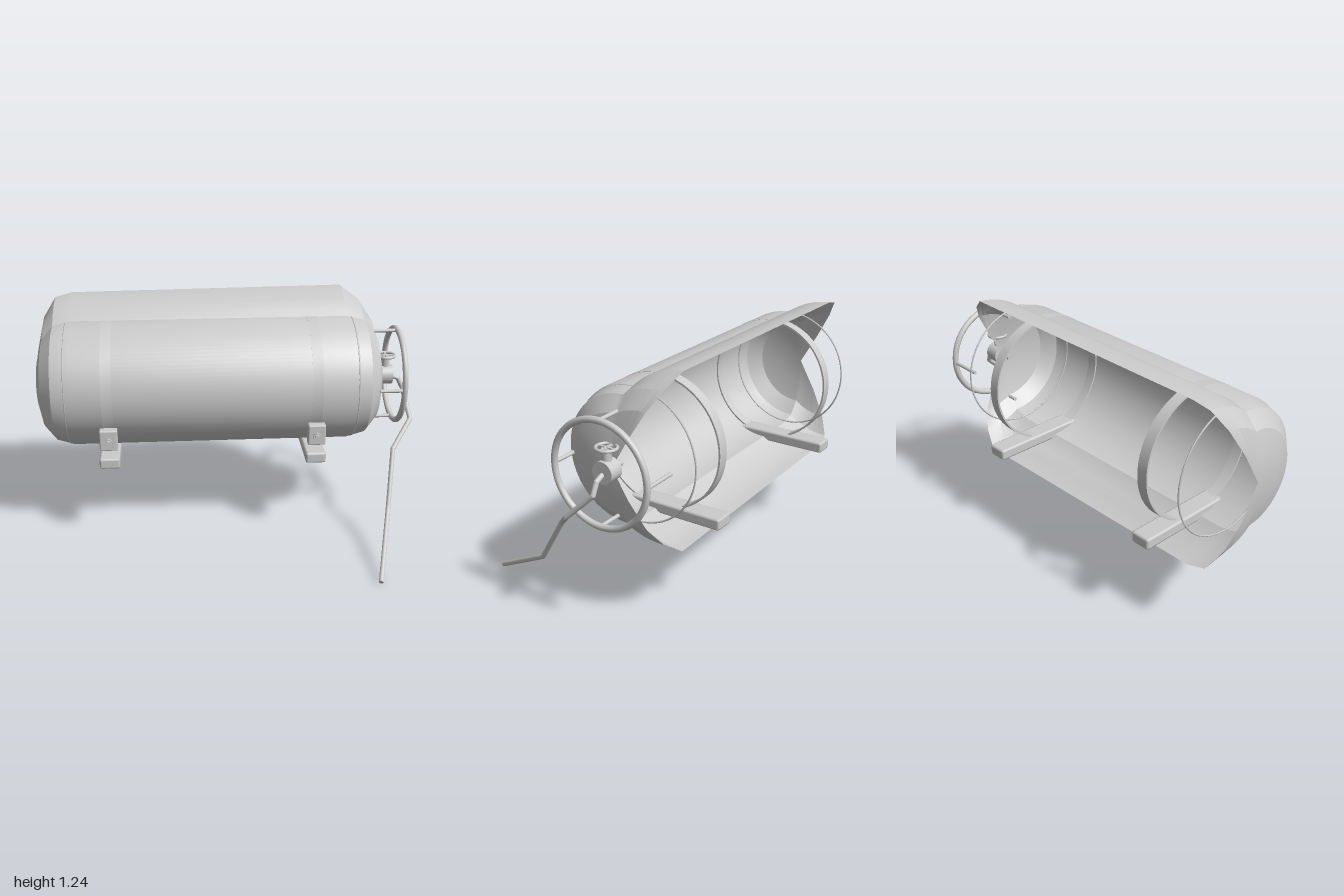
import * as THREE from 'three';
import { toCreasedNormals } from 'three/addons/utils/BufferGeometryUtils.js';
import { RoundedBoxGeometry } from 'three/addons/geometries/RoundedBoxGeometry.js';

const CY = 0.81, CZ = -0.235; // tank axis, running along x
const mat = new THREE.MeshStandardMaterial({ color: 0xcccccc });
const thinMat = new THREE.MeshStandardMaterial({ color: 0xcccccc, side: THREE.DoubleSide });

function add(parent, name, geo, x = 0, y = 0, z = 0, material = mat) {
  const m = new THREE.Mesh(geo, material);
  m.name = name;
  m.position.set(x, y, z);
  parent.add(m);
  return m;
}

// Straight round bar between two points
function rod(parent, name, a, b, r) {
  const from = new THREE.Vector3(...a), to = new THREE.Vector3(...b);
  const dir = to.clone().sub(from);
  const m = add(parent, name, new THREE.CylinderGeometry(r, r, dir.length(), 12));
  m.position.copy(from).add(to).multiplyScalar(0.5);
  m.quaternion.setFromUnitVectors(new THREE.Vector3(0, 1, 0), dir.normalize());
}

// Burst tank: swept sections, open at the back, with lips flaring outward
function shellGeometry() {
  // [x, radius, flare]
  const rings = [
    [-1.0, 0, 0], [-1.0, 0.135, 0.06], [-0.97, 0.24, 0.115], [-0.91, 0.31, 0.15], [-0.82, 0.335, 0.15],
    [0.635, 0.335, 0.165], [0.73, 0.31, 0.11], [0.79, 0.24, 0.08], [0.82, 0.13, 0.03], [0.825, 0, 0],
  ];
  const half = 119.5 * Math.PI / 180, N = 64, pos = [], idx = [];
  for (const [x, r, flare] of rings) {
    for (let j = 0; j <= N; j++) {
      const a = -half + 2 * half * j / N;
      const t = Math.max(0, (Math.abs(a) - Math.PI / 2) / (half - Math.PI / 2));
      const R = r + flare * t * (a < 0 ? 0.95 : 1);
      pos.push(x, CY + R * Math.sin(a), CZ + R * Math.cos(a));
    }
  }
  for (let i = 0; i < rings.length - 1; i++) {
    for (let j = 0; j < N; j++) {
      const a = i * (N + 1) + j, b = a + N + 1;
      if (i < rings.length - 2) idx.push(a, b, b + 1);
      else idx.push(a, b, a + 1);
      if (i > 0 && i < rings.length - 2) idx.push(a, b + 1, a + 1);
      else if (i === 0) continue;
    }
  }
  const g = new THREE.BufferGeometry();
  g.setAttribute('position', new THREE.Float32BufferAttribute(pos, 3));
  g.setIndex(idx);
  return toCreasedNormals(g, 0.4);
}

// Flat band around the tank axis
function strapGeometry(inner, outer, width) {
  const w = width / 2;
  const profile = [[inner, -w], [outer, -w], [outer, w], [inner, w], [inner, -w]].map(p => new THREE.Vector2(...p));
  return toCreasedNormals(new THREE.LatheGeometry(profile, 64).rotateZ(Math.PI / 2), 0.5);
}

export function createModel() {
  const model = new THREE.Group();
  model.name = 'burstTank';
  add(model, 'tankShell', shellGeometry(), 0, 0, 0, thinMat);

  // Wire hoops left where the end caps were joined
  for (const x of [-0.84, 0.66]) {
    add(model, 'seamHoop', new THREE.TorusGeometry(0.327, 0.0045, 6, 64).rotateY(Math.PI / 2), x, CY, CZ);
  }

  // Two mounts: strap, clamp with bolt, and cross beam
  for (const x of [-0.628, 0.445]) {
    const mount = new THREE.Group();
    mount.name = 'mount';
    mount.position.x = x;
    model.add(mount);
    add(mount, 'strap', strapGeometry(0.327, 0.336, 0.056), 0, CY, CZ);
    add(mount, 'clampBlock', new RoundedBoxGeometry(0.092, 0.112, 0.05, 1, 0.008), 0, 0.614, 0.09);
    add(mount, 'boltHead', new THREE.CylinderGeometry(0.022, 0.022, 0.012, 6).rotateX(Math.PI / 2), 0, 0.61, 0.119);
    add(mount, 'boltTip', new THREE.CylinderGeometry(0.013, 0.013, 0.014, 12).rotateX(Math.PI / 2), 0, 0.61, 0.129);
    add(mount, 'beam', new RoundedBoxGeometry(0.106, 0.058, 0.696, 1, 0.012), 0, 0.481, -0.237);
  }

  // Guard ring held off the end cap by four bars
  const guard = new THREE.Group();
  guard.name = 'guard';
  model.add(guard);
  add(guard, 'guardRing', new THREE.TorusGeometry(0.25, 0.0155, 12, 64).rotateY(Math.PI / 2), 0.914, CY, CZ);
  for (let i = 0; i < 4; i++) {
    const y = CY + 0.248 * Math.sin(i * Math.PI / 2), z = CZ + 0.248 * Math.cos(i * Math.PI / 2);
    rod(guard, 'guardBar', [i === 0 ? 0.785 : 0.735, y, z], [0.914, y, z], 0.0095);
  }

  // Valve with a small hand wheel on its stem
  const valve = new THREE.Group();
  valve.name = 'valve';
  valve.position.set(0.86, CY, CZ);
  model.add(valve);
  add(valve, 'valveBody', new THREE.CylinderGeometry(0.053, 0.053, 0.075, 24).rotateZ(Math.PI / 2));
  add(valve, 'valveNeck', new THREE.CylinderGeometry(0.013, 0.013, 0.1, 12).rotateZ(Math.PI / 2), -0.05);
  add(valve, 'valveStem', new THREE.CylinderGeometry(0.022, 0.022, 0.07, 16), 0, 0.073);
  add(valve, 'handWheel', new THREE.TorusGeometry(0.048, 0.008, 8, 24).rotateX(Math.PI / 2), 0, 0.108);
  for (const a of [0, Math.PI / 2]) {
    add(valve, 'wheelSpoke', new THREE.BoxGeometry(0.09, 0.008, 0.01).rotateY(a), 0, 0.108);
  }

  // Bent hose hanging from the valve to the ground
  const hose = new THREE.Group();
  hose.name = 'hose';
  model.add(hose);
  const path = [
    [0.885, 0.805, -0.235], [0.935, 0.785, -0.235], [0.963, 0.73, -0.235], [0.985, 0.6, -0.1],
    [0.87, 0.485, 0.03], [0.825, 0.23, 0.2], [0.72, 0.013, 0.578],
  ];
  for (let i = 0; i < path.length - 1; i++) {
    rod(hose, 'hoseSection', path[i], path[i + 1], 0.0125);
    if (i > 0) add(hose, 'hoseBend', new THREE.SphereGeometry(0.0125, 12, 8), ...path[i]);
  }
  return model;
}
